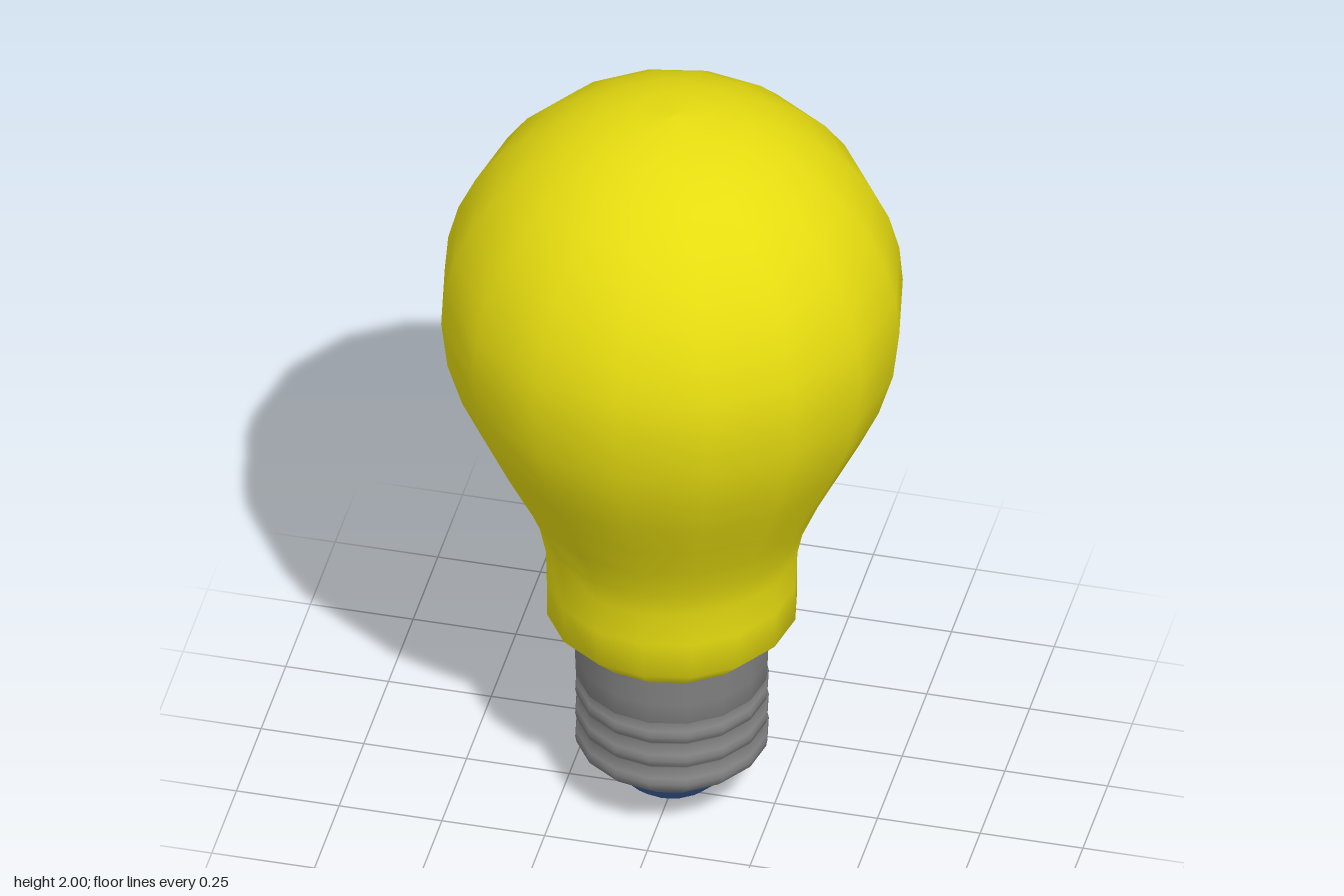
import * as THREE from 'three';

const SIDES = 16;

// Smooth turned part from [radius, height] pairs, listed bottom to top
function turned(name, profile, color) {
  const points = profile.map(([r, y]) => new THREE.Vector2(r, y));
  const mesh = new THREE.Mesh(
    new THREE.LatheGeometry(points, SIDES),
    new THREE.MeshStandardMaterial({ color })
  );
  mesh.name = name;
  return mesh;
}

export function createModel() {
  const group = new THREE.Group();
  group.name = 'lightBulb';

  // Glass: collar and flaring neck, then a round dome
  const glass = [
    [0.235, 0.49], [0.3, 0.555], [0.3, 0.65], [0.302, 0.74], [0.317, 0.81],
    [0.355, 0.9], [0.405, 1.0], [0.455, 1.1], [0.503, 1.205], [0.538, 1.32],
  ];
  const domeY = 1.447, domeR = 0.553, steps = 9;
  for (let i = 0; i <= steps; i++) {
    const a = (i / steps) * Math.PI / 2;
    glass.push([i === steps ? 0 : domeR * Math.cos(a), domeY + domeR * Math.sin(a)]);
  }
  group.add(turned('glassBulb', glass, 0xe6dc10));

  // Screw base: tapered foot, three rounded threads, plain sleeve
  const base = [[0.15, 0.1], [0.19, 0.135]];
  for (const y of [0.183, 0.253, 0.323]) {
    base.push([0.212, y - 0.033], [0.229, y - 0.016], [0.232, y], [0.229, y + 0.016]);
  }
  base.push([0.214, 0.357], [0.23, 0.365], [0.232, 0.42], [0.235, 0.49]);
  group.add(turned('screwBase', base, 0x808080));

  // Contact tip
  group.add(turned('contactTip',
    [[0, 0], [0.05, 0.018], [0.1, 0.045], [0.13, 0.073], [0.15, 0.1]], 0x3a5f9c));

  return group;
}
